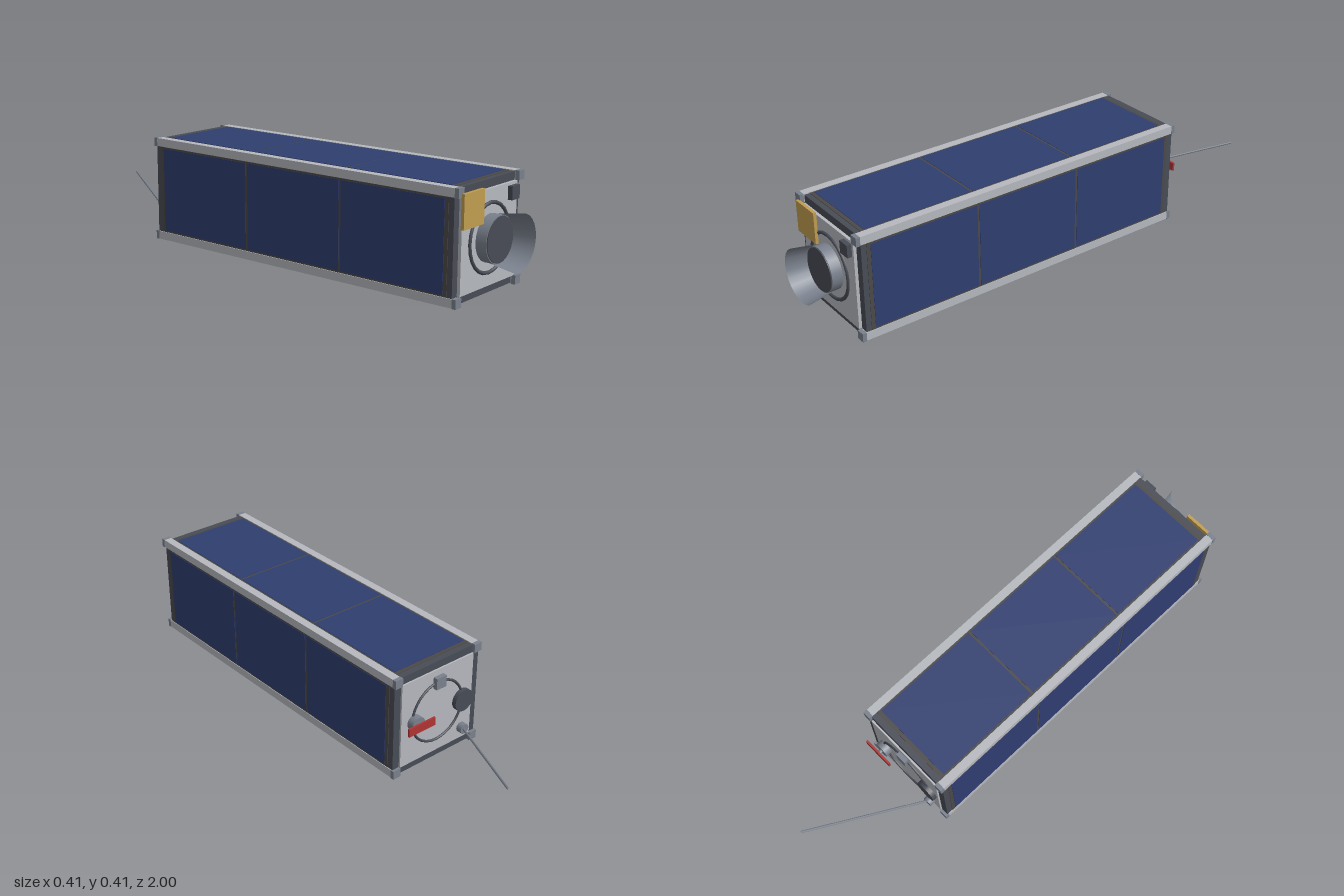
import * as THREE from 'three';

const mat = (name, color) => {
  const m = new THREE.MeshStandardMaterial({ color });
  m.name = name;
  return m;
};

export function createModel() {
  const M = {
    alloy: mat('pale alloy', 0xb6b9be),
    dark: mat('dark frame', 0x484c56),
    steel: mat('steel grey', 0x7a818d),
    board: mat('panel board', 0x4c4a48),
    cell: mat('solar cell blue', 0x2f3e70),
    gold: mat('gold foil', 0xc09d50),
    red: mat('red tag', 0xb03434),
  };
  const CY = 0.222;              // height of the long axis
  const ZF = 0.885, ZB = -0.553; // ends of the rails
  const ZM = (ZF + ZB) / 2;

  const root = new THREE.Group();
  root.name = 'smallSatellite';
  const add = (name, geo, material, x, y, z, parent = root) => {
    const mesh = new THREE.Mesh(geo, material);
    mesh.name = name;
    mesh.position.set(x, y, z);
    parent.add(mesh);
    return mesh;
  };
  const box = (name, w, h, d, material, x, y, z, parent) =>
    add(name, new THREE.BoxGeometry(w, h, d), material, x, y, z, parent);
  // Disc or barrel whose axis runs along z
  const barrel = (name, r, z0, z1, material, x, y, sides = 24) =>
    add(name, new THREE.CylinderGeometry(r, r, z1 - z0, sides).rotateX(Math.PI / 2),
      material, x, y, (z0 + z1) / 2);

  // Core
  box('body', 0.405, 0.405, 1.408, M.dark, 0, CY, 0.162);

  // Corner rails with end caps
  for (const sx of [-1, 1]) for (const sy of [-1, 1]) {
    const x = sx * 0.19, y = CY + sy * 0.19;
    box('rail', 0.032, 0.032, ZF - ZB - 0.03, M.alloy, x, y, ZM);
    for (const z of [ZF - 0.008, ZB + 0.008])
      box('railCap', 0.034, 0.034, 0.016, M.steel, x, y, z);
  }

  // Four solar panels, three cells each
  for (let i = 0; i < 4; i++) {
    const panel = new THREE.Group();
    panel.name = 'solarPanel';
    panel.position.y = CY;
    panel.rotation.z = i * Math.PI / 2;
    root.add(panel);
    box('panelBoard', 0.346, 0.004, 1.362, M.board, 0, 0.2025, 0.164, panel);
    for (let k = -1; k <= 1; k++)
      box('solarCell', 0.333, 0.003, 0.438, M.cell, 0, 0.2045, 0.164 + k * 0.447, panel);
  }

  // End plates
  box('frontPlate', 0.345, 0.345, 0.012, M.alloy, 0, CY, 0.872);
  box('backPlate', 0.345, 0.345, 0.01, M.alloy, 0, CY, -0.544);

  // Camera: mounting ring, barrel and a flared hood facing inward
  add('lensRing', new THREE.TorusGeometry(0.124, 0.007, 8, 24), M.dark, 0, CY, 0.879);
  barrel('lensBarrel', 0.086, 0.876, 0.92, M.steel, 0, CY);
  barrel('lensGlass', 0.083, 0.918, 0.923, M.dark, 0, CY);
  const hood = [[0.103, 1], [0.085, 0.89]].map(([r, z]) => new THREE.Vector2(r, z));
  add('lensHood', new THREE.LatheGeometry(hood, 24).rotateX(Math.PI / 2), M.steel, 0, CY, 0);

  // Front fittings
  box('patchAntenna', 0.124, 0.123, 0.012, M.gold, -0.125, 0.3465, 0.889);
  box('sunSensor', 0.049, 0.049, 0.02, M.dark, 0.137, 0.3595, 0.886);

  // Rear separation ring and its fittings
  add('rearRing', new THREE.TorusGeometry(0.122, 0.005, 8, 32), M.dark, 0, CY, -0.551);
  box('rearBlock', 0.046, 0.046, 0.02, M.steel, 0, 0.347, -0.557);
  barrel('rearKnob', 0.044, -0.567, -0.547, M.dark, -0.12, CY);
  barrel('pinSocket', 0.03, -0.576, -0.547, M.steel, 0.113, CY);
  barrel('pin', 0.008, -0.592, -0.574, M.steel, 0.113, CY, 10);
  box('safetyTag', 0.125, 0.033, 0.008, M.red, 0.113, CY, -0.591);

  // Whip antenna
  barrel('antennaMount', 0.02, -0.572, -0.547, M.steel, -0.125, 0.097, 16);
  const path = new THREE.LineCurve3(
    new THREE.Vector3(-0.125, 0.097, -0.562), new THREE.Vector3(0.1, 0.18, -0.998));
  add('whipAntenna', new THREE.TubeGeometry(path, 1, 0.0045, 8), M.steel, 0, 0, 0);

  return root;
}
